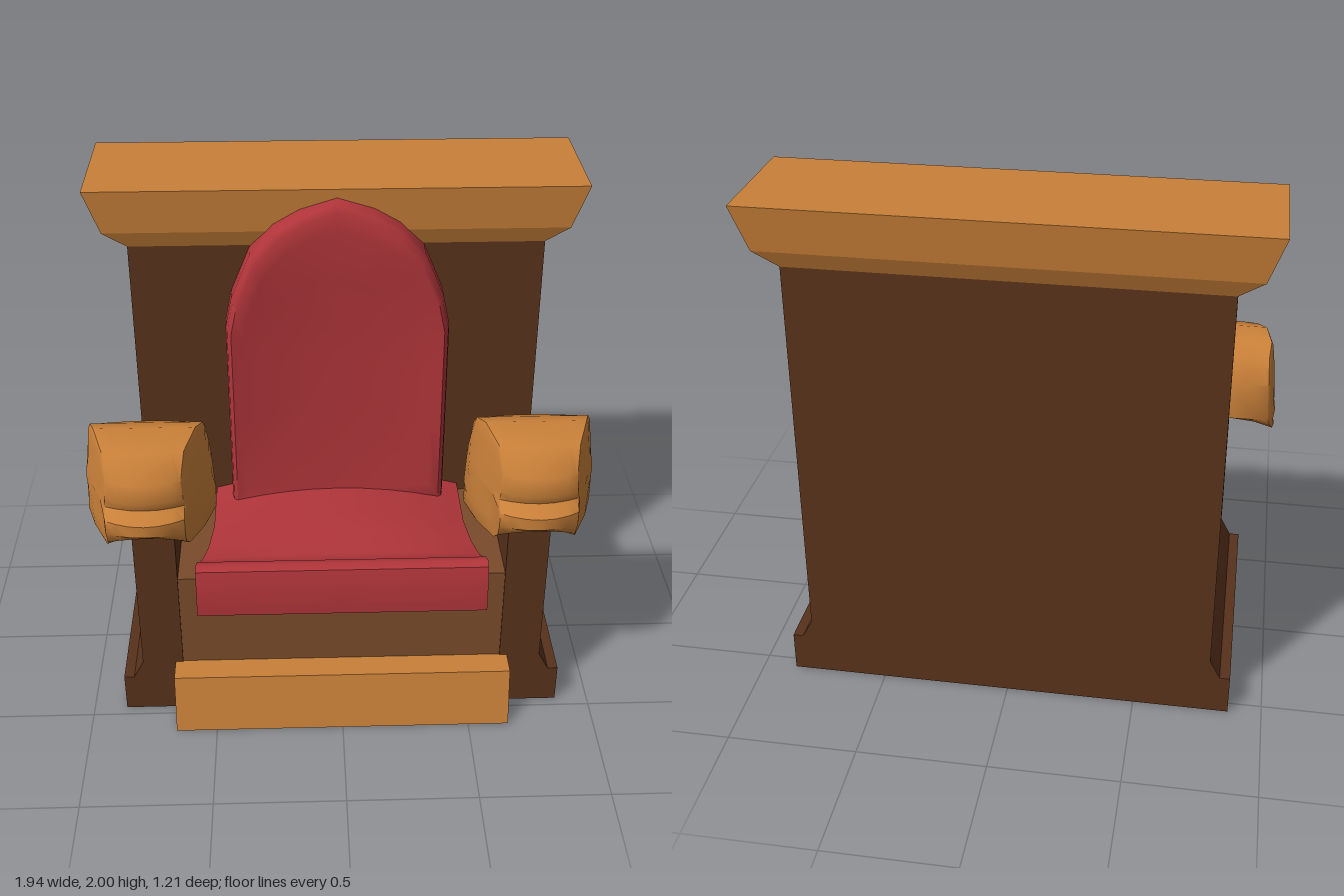
import * as THREE from 'three';
import { toCreasedNormals } from 'three/addons/utils/BufferGeometryUtils.js';

const V = (x, y, z) => new THREE.Vector3(x, y, z);
const mat = (color) => new THREE.MeshStandardMaterial({ color });

// Skin closed rings (counter-clockwise seen from the end), capped at both ends.
function loft(rings, crease) {
  const n = rings[0].length, pos = [], idx = [];
  rings.forEach((r) => r.forEach((p) => pos.push(p.x, p.y, p.z)));
  for (let i = 0; i < rings.length - 1; i++) {
    for (let j = 0; j < n; j++) {
      const a = i * n + j, b = i * n + (j + 1) % n;
      idx.push(a, b, b + n, a, b + n, a + n);
    }
  }
  [0, rings.length - 1].forEach((i) => {
    const c = V(0, 0, 0);
    rings[i].forEach((p) => c.addScaledVector(p, 1 / n));
    const k = pos.length / 3;
    pos.push(c.x, c.y, c.z);
    for (let j = 0; j < n; j++) {
      const a = i * n + j, b = i * n + (j + 1) % n;
      if (i === 0) idx.push(b, a, k); else idx.push(a, b, k);
    }
  });
  const g = new THREE.BufferGeometry();
  g.setAttribute('position', new THREE.Float32BufferAttribute(pos, 3));
  g.setIndex(idx);
  return toCreasedNormals(g, crease);
}

function extrudeZ(points, z0, z1) {
  const shape = new THREE.Shape(points.map(([x, y]) => new THREE.Vector2(x, y)));
  const g = new THREE.ExtrudeGeometry(shape, { depth: z1 - z0, bevelEnabled: false });
  return g.translate(0, 0, z0);
}

// Piecewise linear lookup in [[input, output], ...]
function lerpTable(table, t) {
  if (t <= table[0][0]) return table[0][1];
  for (let i = 1; i < table.length; i++) {
    const [a, va] = table[i - 1], [b, vb] = table[i];
    if (t <= b) return va + (vb - va) * (t - a) / (b - a);
  }
  return table[table.length - 1][1];
}

// Scroll-shaped arm end: side profile swept across x, wide behind and narrow in front
function armScroll() {
  const profile = [[.12, .92], [.115, 1.08], [.17, 1.18], [.25, 1.22], [.33, 1.245], [.45, 1.21], [.535, 1.12],
    [.55, 1.05], [.535, 1.015], [.59, .98], [.59, .92], [.55, .86], [.5, .825], [.36, .82], [.25, .83], [.18, .87]];
  const widths = [[.12, .225], [.17, .235], [.25, .248], [.33, .225], [.42, .185], [.53, .15], [.6, .15]];
  const ring = (u, s) => profile.map(([pz, py]) => {
    let z = .34 + (pz - .34) * s, y = 1.03 + (py - 1.03) * s;
    const w = lerpTable(widths, z) * (1 - .14 * THREE.MathUtils.clamp((y - 1.02) / .22, 0, 1));
    const arch = 1 - u * u;
    if (z > .4) z -= .05 * u * u * (z - .4) / .19;
    if (z < .25) z += .03 * u * u * (.25 - z) / .13;
    if (y < .95) y += .06 * arch * (.95 - y) / .13;
    return V(u * w, y, z);
  });
  const rings = [[-1, .25], [-1, .65], [-1, .92], [-.97, 1], [-.7, 1], [-.35, 1], [0, 1],
    [.35, 1], [.7, 1], [.97, 1], [1, .92], [1, .65], [1, .25]];
  return loft(rings.map(([u, s]) => ring(u, s)), 0.8);
}

// Seat cushion with a low dome and a raised front roll
function seatCushion() {
  // z, half width, edge height, middle height, bottom
  const stations = [[-.13, .5, .67, .74, .6], [.15, .5, .67, .735, .6], [.3, .515, .68, .73, .6], [.4, .535, .69, .71, .6],
    [.445, .545, .71, .71, .6], [.465, .55, .727, .727, .53], [.495, .555, .732, .732, .53],
    [.522, .555, .72, .72, .53], [.534, .555, .67, .67, .53], [.543, .555, .58, .58, .53]];
  const rings = stations.map(([z, w, edge, mid, bottom]) => {
    const r = [V(w, bottom, z)];
    for (let i = 0; i <= 10; i++) {
      const u = 1 - i / 5;
      r.push(V(u * w, edge + (mid - edge) * (1 - u * u), z));
    }
    r.push(V(-w, bottom, z));
    return r;
  });
  return loft(rings, 0.9);
}

// Pointed-arch back cushion with a rounded rim and dished face
function backCushion() {
  const half = [[.43, .66], [.43, 1.0], [.43, 1.25], [.43, 1.46], [.405, 1.58], [.33, 1.76], [.24, 1.86], [.14, 1.92]];
  const outline = [...half, [0, 1.965], ...half.map(([x, y]) => [-x, y]).reverse()];
  const layers = [[-.135, 1], [-.05, 1], [-.015, .985], [0, .95], [-.008, .85], [-.025, .6], [-.035, .3]];
  const rings = layers.map(([z, s]) => outline.map(([x, py]) => {
    const y = 1.25 + (py - 1.25) * s;
    const thin = 1 - .55 * THREE.MathUtils.clamp((y - 1.78) / .18, 0, 1);
    return V(x * s, y, -.065 + (z + .065) * thin);
  }));
  return loft(rings, 0.9);
}

export function createModel() {
  const model = new THREE.Group();
  const dark = mat(0x58321b), panel = mat(0x7a4c2b), oak = mat(0xc98039), red = mat(0xb0353a);
  const add = (name, geometry, material) => {
    const m = new THREE.Mesh(geometry, material);
    m.name = name;
    model.add(m);
    return m;
  };

  // Tall back with splayed plinth
  const side = [[.87, 0], [.87, .16], [.83, .16], [.79, .235]];
  const mirror = (pts) => pts.map(([x, y]) => [-x, y]).reverse();
  const backTop = [...side, [.79, 1.77]];
  add('backBoard', extrudeZ([...backTop, ...mirror(backTop)], -.55, -.13), dark);

  // Arms carry the same plinth profile
  const arm = [[.63, 0], ...side, [.79, .92], [.63, .92]];
  add('leftArm', extrudeZ(arm, -.13, .46), dark);
  add('rightArm', extrudeZ(mirror(arm), -.13, .46), dark);

  // Seat box between the arms
  const box = new THREE.BoxGeometry(1.26, .64, .585);
  add('seatBox', box.translate(0, .32, .1625), panel);

  // Footstep with sloping front, swept along x
  const step = extrudeZ([[-.45, 0], [-.45, .235], [-.56, .235], [-.603, 0]], -.66, .66);
  add('footStep', step.rotateY(Math.PI / 2), oak);

  // Flared cornice
  const levels = [[1.765, .79, -.55, -.13], [1.83, .88, -.58, -.105], [2, .94, -.605, -.09]];
  const cornice = levels.map(([y, x, z0, z1]) => [V(x, y, z1), V(x, y, z0), V(-x, y, z0), V(-x, y, z1)]);
  add('cornice', loft(cornice, 0.1), oak);

  // Upholstery
  add('seatCushion', seatCushion(), red);
  add('backCushion', backCushion(), red);

  // Carved arm ends
  const scroll = armScroll();
  add('leftArmScroll', scroll, oak).position.x = .725;
  add('rightArmScroll', scroll, oak).position.x = -.725;
  return model;
}
